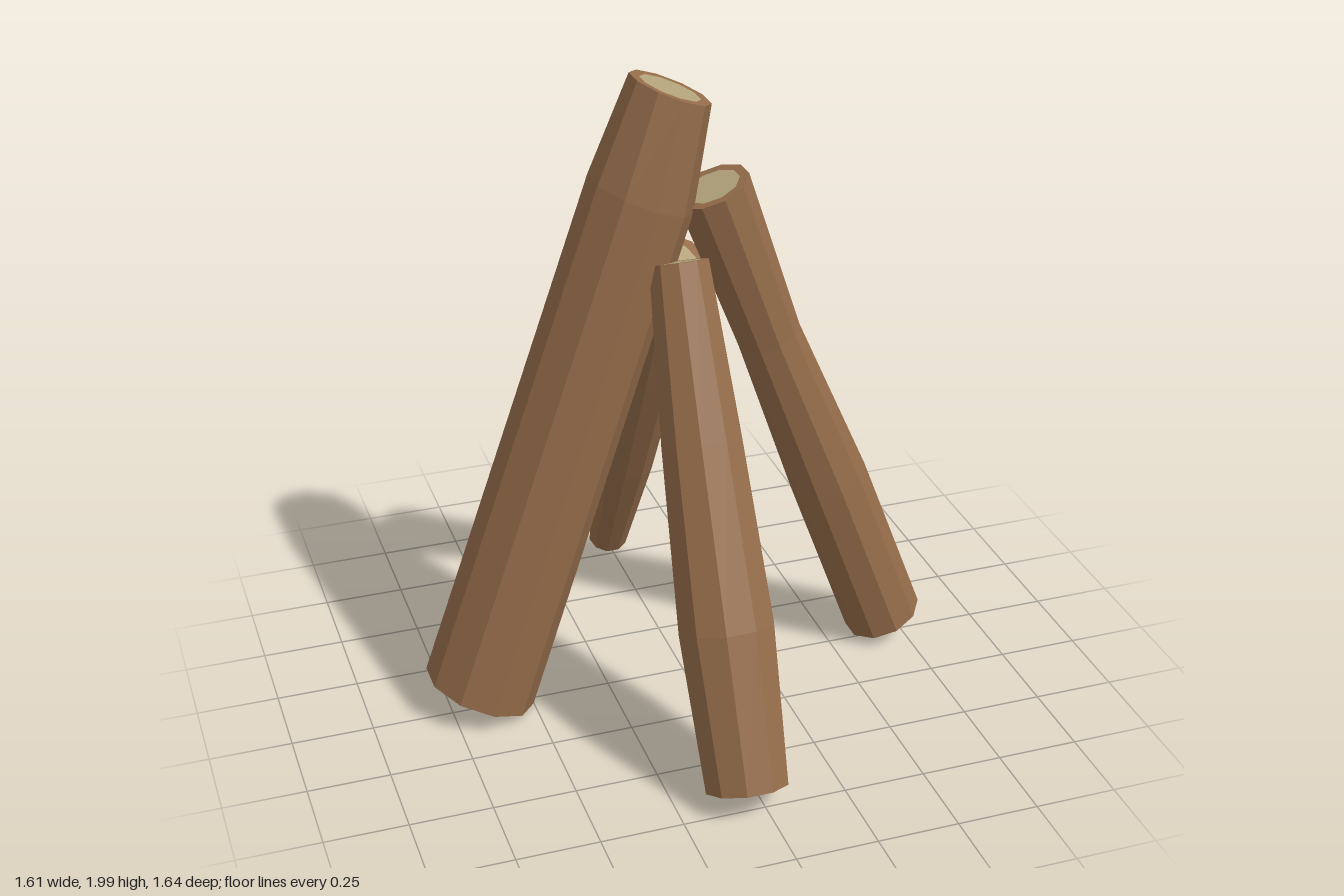
import * as THREE from 'three';
import { mergeGeometries } from 'three/addons/utils/BufferGeometryUtils.js';

const SIDES = 10;
const TILT = THREE.MathUtils.degToRad(22.5); // slope of every cross-section
const CORE = 0.75;                           // heartwood radius / log radius

const bark = new THREE.MeshStandardMaterial({ color: 0x946c4a, flatShading: true });
const heartwood = new THREE.MeshStandardMaterial({ color: 0xb5a47c, flatShading: true });

// Each ring is [distance out, height, sideways, radius], listed from top to foot.
// A log leans inwards from its foot, which points along the heading.
const logs = [
  { name: 'leftLog', heading: 0, rings: [
    [0.095, 1.643, -0.02, 0.114], [0.28, 1.14, -0.025, 0.098],
    [0.485, 0.62, -0.023, 0.122], [0.69, 0.075, -0.02, 0.125]] },
  { name: 'rightLog', heading: Math.PI, rings: [
    [0.03, 1.955, 0.023, 0.125], [0.12, 1.65, 0.023, 0.162], [0.655, 0.075, 0.025, 0.176]] },
  { name: 'frontLog', heading: -Math.PI / 2, rings: [
    [0.097, 1.475, 0.045, 0.09], [0.30, 1.0, 0.045, 0.122],
    [0.527, 0.505, 0.046, 0.145], [0.717, 0.075, 0.046, 0.126]] },
  { name: 'backLog', heading: Math.PI / 2, rings: [
    [0.145, 1.365, 0.002, 0.12], [0.35, 0.925, -0.005, 0.107],
    [0.56, 0.485, -0.012, 0.093], [0.76, 0.075, -0.018, 0.065]] },
];

// Move a unit cylinder's vertices onto the tilted rings.
function fitToRings(geometry, rings) {
  const p = geometry.attributes.position;
  for (let i = 0; i < p.count; i++) {
    const [out, height, side, r] = rings[Math.round((0.5 - p.getY(i)) * (rings.length - 1))];
    const x = p.getX(i) * r;
    p.setXYZ(i, out + x * Math.cos(TILT), height + x * Math.sin(TILT), side + p.getZ(i) * r);
  }
  geometry.computeVertexNormals();
  return geometry;
}

// Flat end face of the unit cylinder, from an inner to an outer radius.
function endFace(inner, outer, up) {
  const g = inner > 0
    ? new THREE.RingGeometry(inner, outer, SIDES, 1, Math.PI / 2)
    : new THREE.CircleGeometry(outer, SIDES, Math.PI / 2);
  return g.rotateX(up ? -Math.PI / 2 : Math.PI / 2).translate(0, up ? 0.5 : -0.5, 0);
}

function makeLog({ name, heading, rings }) {
  const log = new THREE.Group();
  log.name = name;
  log.rotation.y = heading;

  // Bark side, bark rim around the cut top, and closed foot
  const shell = mergeGeometries([
    new THREE.CylinderGeometry(1, 1, 1, SIDES, rings.length - 1, true),
    endFace(CORE, 1, true),
    endFace(0, 1, false),
  ]);
  const trunk = new THREE.Mesh(fitToRings(shell, rings), bark);
  trunk.name = 'bark';

  // Pale heartwood disc on the cut top
  const core = new THREE.Mesh(fitToRings(endFace(0, CORE, true), rings), heartwood);
  core.name = 'cutEnd';

  log.add(trunk, core);
  return log;
}

export function createModel() {
  const model = new THREE.Group();
  model.name = 'leaningLogs';
  logs.forEach((spec) => model.add(makeLog(spec)));
  return model;
}
